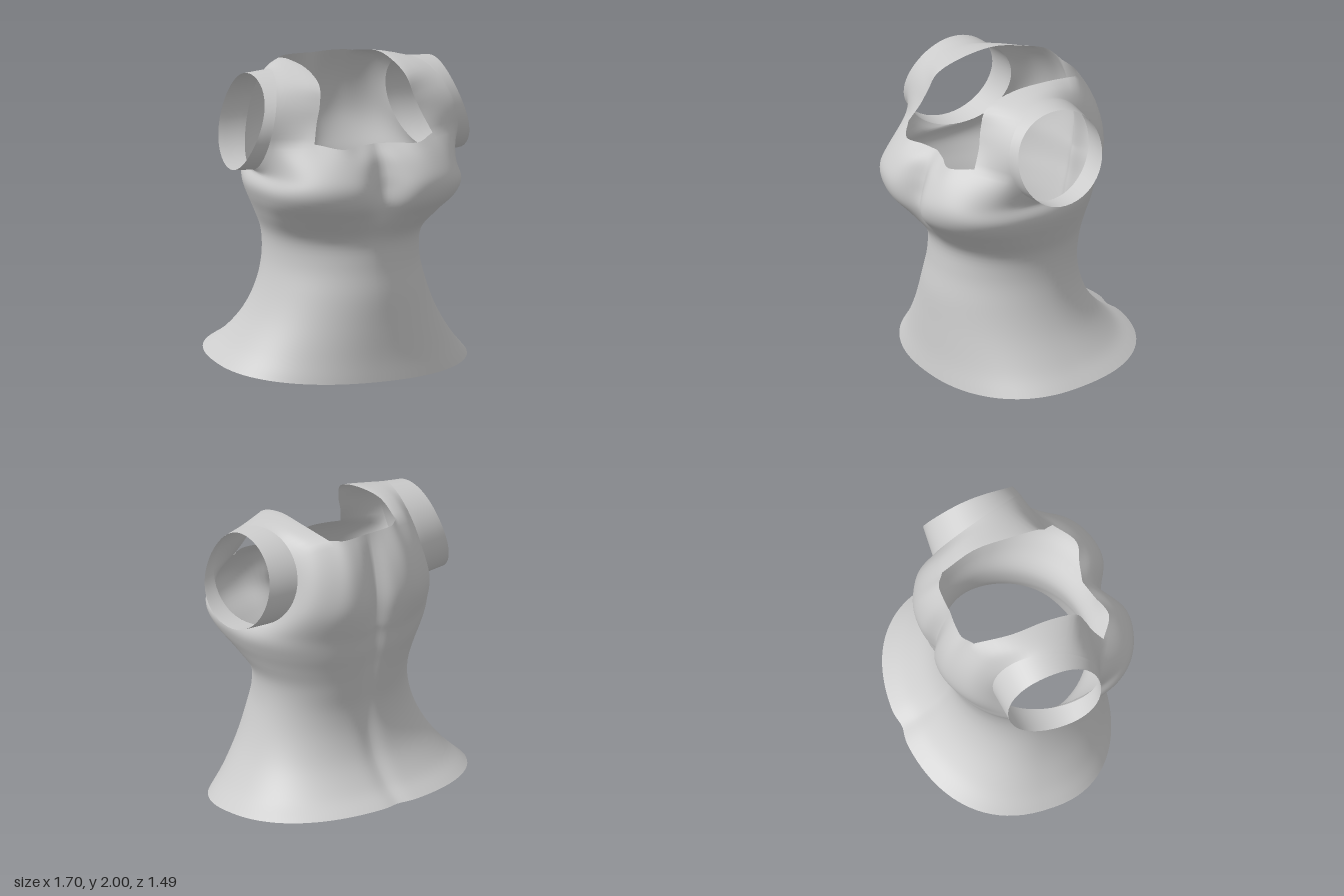
import * as THREE from 'three';
import { mergeGeometries, mergeVertices } from 'three/addons/utils/BufferGeometryUtils.js';

const V = (x, y, z) => new THREE.Vector3(x, y, z);
const spline = (pts) => new THREE.CatmullRomCurve3(pts, false, 'catmullrom', 0.5);
const COLS = 30; // columns per quarter of the body

// Surface from f(u, v), u and v in 0..1
function grid(f, nu, nv, flip) {
  const pos = [], idx = [];
  for (let j = 0; j <= nv; j++)
    for (let i = 0; i <= nu; i++) pos.push(...f(i / nu, j / nv).toArray());
  for (let j = 0; j < nv; j++)
    for (let i = 0; i < nu; i++) {
      const a = j * (nu + 1) + i, b = a + 1, c = a + nu + 1, d = c + 1;
      if (flip) idx.push(a, d, b, a, c, d);
      else idx.push(a, b, d, a, d, c);
    }
  const g = new THREE.BufferGeometry();
  g.setAttribute('position', new THREE.Float32BufferAttribute(pos, 3));
  g.setIndex(idx);
  return g;
}

// Mirror a surface to the other side
function mirrored(g) {
  const m = g.clone().scale(-1, 1, 1);
  const a = m.index.array;
  for (let i = 0; i < a.length; i += 3) [a[i], a[i + 1]] = [a[i + 1], a[i]];
  return m;
}

// Blend four boundary curves into a patch
function coons(bottom, top, left, right) {
  const c00 = bottom(0), c10 = bottom(1), c01 = top(0), c11 = top(1);
  return (u, v) => V(0, 0, 0)
    .addScaledVector(bottom(u), 1 - v).addScaledVector(top(u), v)
    .addScaledVector(left(v), 1 - u).addScaledVector(right(v), u)
    .addScaledVector(c00, -(1 - u) * (1 - v)).addScaledVector(c10, -u * (1 - v))
    .addScaledVector(c01, -(1 - u) * v).addScaledVector(c11, -u * v);
}

// Soften the cloth around the underarm; open edges and the centre line stay put
function relax(g, steps) {
  const p = g.attributes.position, ix = g.index.array;
  const near = Array.from({ length: p.count }, () => new Map());
  const link = (a, b) => near[a].set(b, (near[a].get(b) || 0) + 1);
  for (let i = 0; i < ix.length; i += 3)
    for (let k = 0; k < 3; k++) {
      const a = ix[i + k], b = ix[i + (k + 1) % 3];
      if (a !== b) { link(a, b); link(b, a); }
    }
  const weight = near.map((m, i) => ([...m.values()].includes(1) ? 0
    : 0.6 * Math.exp(-(((p.getY(i) - 1.36) / 0.11) ** 2)) * Math.min(1, Math.abs(p.getX(i)) / 0.3)));
  for (let s = 0; s < steps; s++) {
    const old = near.map((_, i) => V().fromBufferAttribute(p, i));
    near.forEach((m, i) => {
      if (weight[i] < 0.01) return;
      const mean = V(0, 0, 0);
      for (const j of m.keys()) mean.addScaledVector(old[j], 1 / m.size);
      mean.lerp(old[i], 1 - weight[i]);
      p.setXYZ(i, mean.x, mean.y, mean.z);
    });
  }
}

// Body rings: side height, tilt, half width, front z, back z, middle z,
// front squareness, back squareness, front groove, back groove
const RINGS = [
  [0.075, 0.125, 0.85, 0.605, -0.745, -0.03, 0.9, 0.84, 0, 0.02],
  [0.20, 0.09, 0.74, 0.585, -0.61, -0.02, 0.93, 0.87, 0, 0.02],
  [0.37, 0.05, 0.63, 0.57, -0.49, -0.01, 0.97, 0.92, 0, 0.02],
  [0.55, 0.02, 0.555, 0.555, -0.425, 0, 1.02, 0.97, 0, 0.02],
  [0.73, 0, 0.515, 0.525, -0.41, 0, 1.05, 1, 0, 0.025],
  [0.90, 0, 0.52, 0.525, -0.44, 0.02, 1.02, 1, 0, 0.035],
  [1.04, 0, 0.585, 0.63, -0.47, 0.08, 0.88, 0.98, 0.02, 0.045],
  [1.16, 0, 0.65, 0.735, -0.50, 0.13, 0.75, 0.96, 0.08, 0.05],
  [1.27, 0, 0.69, 0.765, -0.52, 0.12, 0.68, 0.95, 0.13, 0.055],
  [1.34, 0, 0.645, 0.75, -0.54, 0.03, 0.6, 0.92, 0.13, 0.06],
];

// Point on a ring: s = 0 front centre, 1 side, 2 back centre
function ringPoint([y, tilt, w, front, back, mid, squareF, squareB, cleft, spine], s) {
  const isFront = s <= 1;
  const q = isFront ? s : 2 - s;
  const t = (Math.PI / 2) * Math.pow(q, 1.5);
  const e = isFront ? squareF : squareB;
  const x = q === 0 ? 0 : w * Math.pow(Math.sin(t), e);
  const c = q === 1 ? 0 : Math.pow(Math.cos(t), e);
  let z = mid + ((isFront ? front : back) - mid) * c;
  if (isFront) z -= cleft * Math.exp(-((x / 0.12) ** 2)) * c;
  else z += spine * Math.exp(-((x / 0.07) ** 2)) * c;
  return V(x, y - tilt * z, z);
}
const body = (s, v) => spline(RINGS.map((r) => ringPoint(r, s))).getPoint(v);

// Armhole seam and sleeve cuff: a = 0 top, PI/2 front, PI bottom
const armhole = (a) => V(0.5725 - 0.0725 * Math.cos(a) + 0.08 * Math.sin(a),
  1.654 + 0.314 * Math.cos(a), 0.03 + 0.335 * Math.sin(a));
const cuff = (a) => {
  const low = (1 - Math.cos(a)) / 2, s = Math.sin(a);
  return V(0.65 + 0.14 * Math.pow(low, 1.5) + 0.03 * low * (s + s * s),
    1.652 + 0.304 * Math.cos(a), 0.028 + 0.313 * s);
};

export function createModel() {
  const group = new THREE.Group();
  const material = new THREE.MeshStandardMaterial({ color: 0xcccccc, side: THREE.DoubleSide });
  const A_FRONT = 1.88, A_BACK = -Math.PI / 4;
  const arc = (a0, a1) => (v) => a0 + (a1 - a0) * v;
  const frontArc = arc(Math.PI, A_FRONT);
  const strapArc = arc(A_FRONT, A_BACK);
  const backArc = arc(-Math.PI, A_BACK);

  // Neckline rows, running from the centre out to the armhole
  const frontRow = spline([V(0, 1.535, 0.52), V(0.12, 1.535, 0.55), V(0.27, 1.53, 0.59),
    V(0.42, 1.56, 0.49), V(0.54, 1.56, 0.42), armhole(A_FRONT)]);
  const backRow = spline([V(0, 1.955, -0.395), V(0.1, 1.957, -0.4), V(0.19, 1.957, -0.392),
    V(0.26, 1.957, -0.34), V(0.37, 1.925, -0.285), armhole(A_BACK)]);
  const CORNER = 0.6; // where the strap leaves the neckline

  // Centre lines and the neck edge of the strap
  const frontCentre = spline([body(0, 1), V(0, 1.45, 0.585), V(0, 1.535, 0.52)]);
  const backCentre = spline([body(2, 1), V(0, 1.54, -0.485), V(0, 1.75, -0.45), V(0, 1.955, -0.395)]);
  const neckEdge = spline([V(0.42, 1.56, 0.49), V(0.375, 1.68, 0.43), V(0.335, 1.79, 0.395),
    V(0.31, 1.91, 0.335), V(0.305, 1.98, 0.14), V(0.31, 1.995, -0.1), V(0.26, 1.957, -0.34)]);

  const chest = coons((u) => body(u, 1), (u) => frontRow.getPoint(u),
    (v) => frontCentre.getPoint(v), (v) => armhole(frontArc(v)));
  const back = coons((u) => body(2 - u, 1), (u) => backRow.getPoint(u),
    (v) => backCentre.getPoint(v), (v) => armhole(backArc(v)));
  const strapU = (u) => CORNER + (1 - CORNER) * u;
  const strap = coons((u) => frontRow.getPoint(strapU(u)), (u) => backRow.getPoint(strapU(u)),
    (v) => neckEdge.getPoint(v), (v) => armhole(strapArc(v)));

  // Bodice: skirted waist, chest, back and shoulder straps
  const half = [
    grid((u, v) => body(2 * u, v), COLS * 2, 45, false),
    grid(chest, COLS, 10, false),
    grid(back, COLS, 18, true),
    grid(strap, COLS * (1 - CORNER), 24, false),
  ];
  const bodice = mergeVertices(mergeGeometries([...half, ...half.map(mirrored)]), 1e-4);
  relax(bodice, 20);
  bodice.computeVertexNormals();
  const bodiceMesh = new THREE.Mesh(bodice, material);
  bodiceMesh.name = 'bodice';
  group.add(bodiceMesh);

  // Short sleeves, sampled to match the armhole seam
  const sleevePart = (path, nv, flip) =>
    grid((u, v) => armhole(path(v)).lerp(cuff(path(v)), u), 4, nv, flip);
  const left = mergeVertices(mergeGeometries([
    sleevePart(frontArc, 10, false), sleevePart(strapArc, 24, false), sleevePart(backArc, 18, true),
  ]), 1e-4);
  for (const [name, g] of [['leftSleeve', left], ['rightSleeve', mirrored(left)]]) {
    g.computeVertexNormals();
    const mesh = new THREE.Mesh(g, material);
    mesh.name = name;
    group.add(mesh);
  }
  return group;
}
